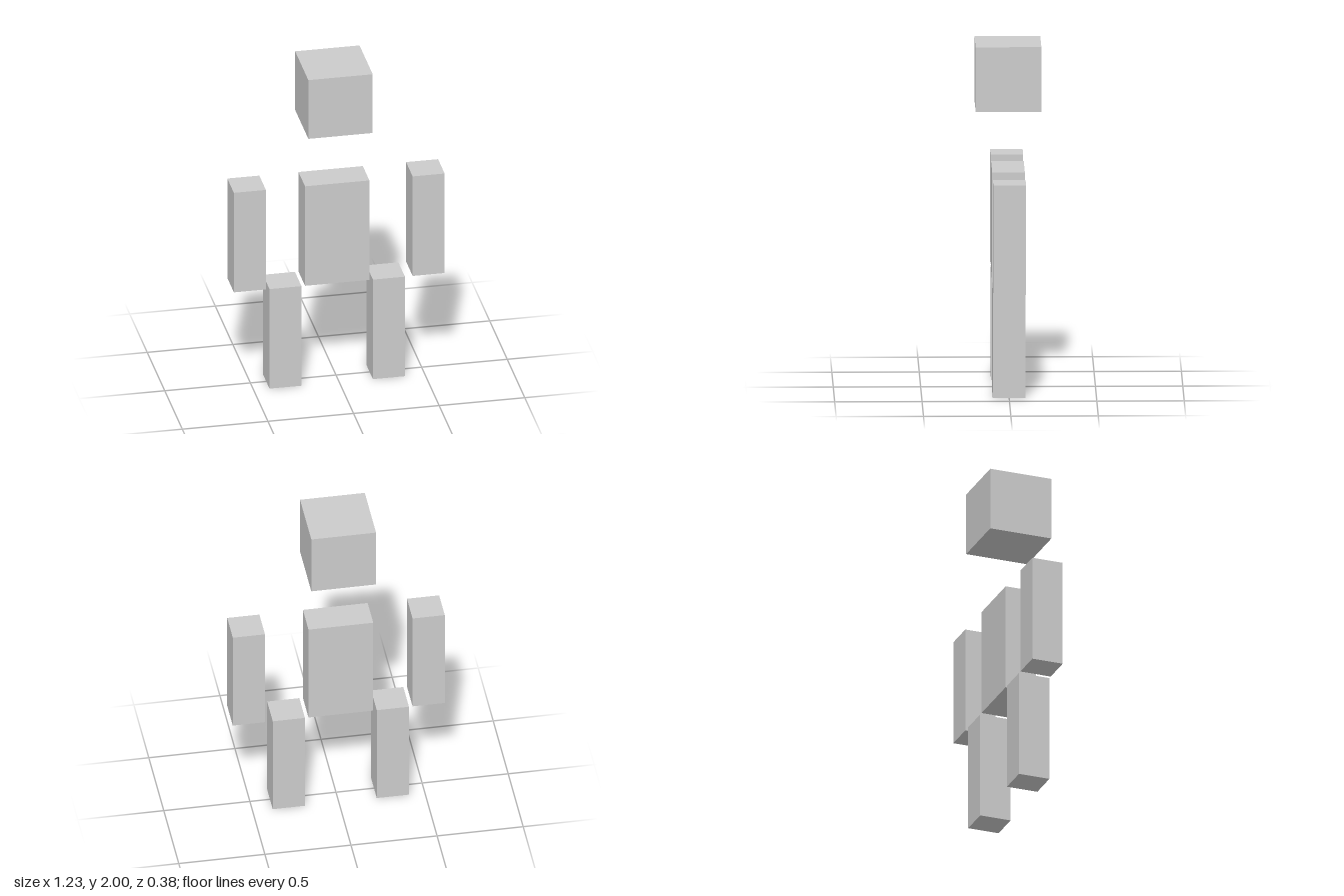
import * as THREE from 'three';

const material = new THREE.MeshStandardMaterial({ color: 0xcccccc, flatShading: true });

// Box placed by its centre in x and its bottom edge in y
function block(name, width, height, depth, x, bottom) {
  const mesh = new THREE.Mesh(new THREE.BoxGeometry(width, height, depth), material);
  mesh.name = name;
  mesh.position.set(x, bottom + height / 2, 0);
  return mesh;
}

export function createModel() {
  const model = new THREE.Group();
  model.name = 'blockFigure';

  const wide = 0.376; // head and torso width
  const slim = 0.187; // limb thickness
  const tall = 0.637; // torso and limb height
  const midX = -0.012; // head, torso and legs sit slightly off centre

  // Head floating above the torso
  model.add(block('head', wide, wide, wide, midX, 2 - wide));
  model.add(block('torso', wide, tall, slim, midX, tall));

  // Detached limbs on both sides
  for (const [side, s] of [['left', 1], ['right', -1]]) {
    model.add(block(side + 'Arm', slim, tall, slim, s * 0.522, tall));
    model.add(block(side + 'Leg', slim, tall, slim, midX + s * 0.302, 0));
  }
  return model;
}
